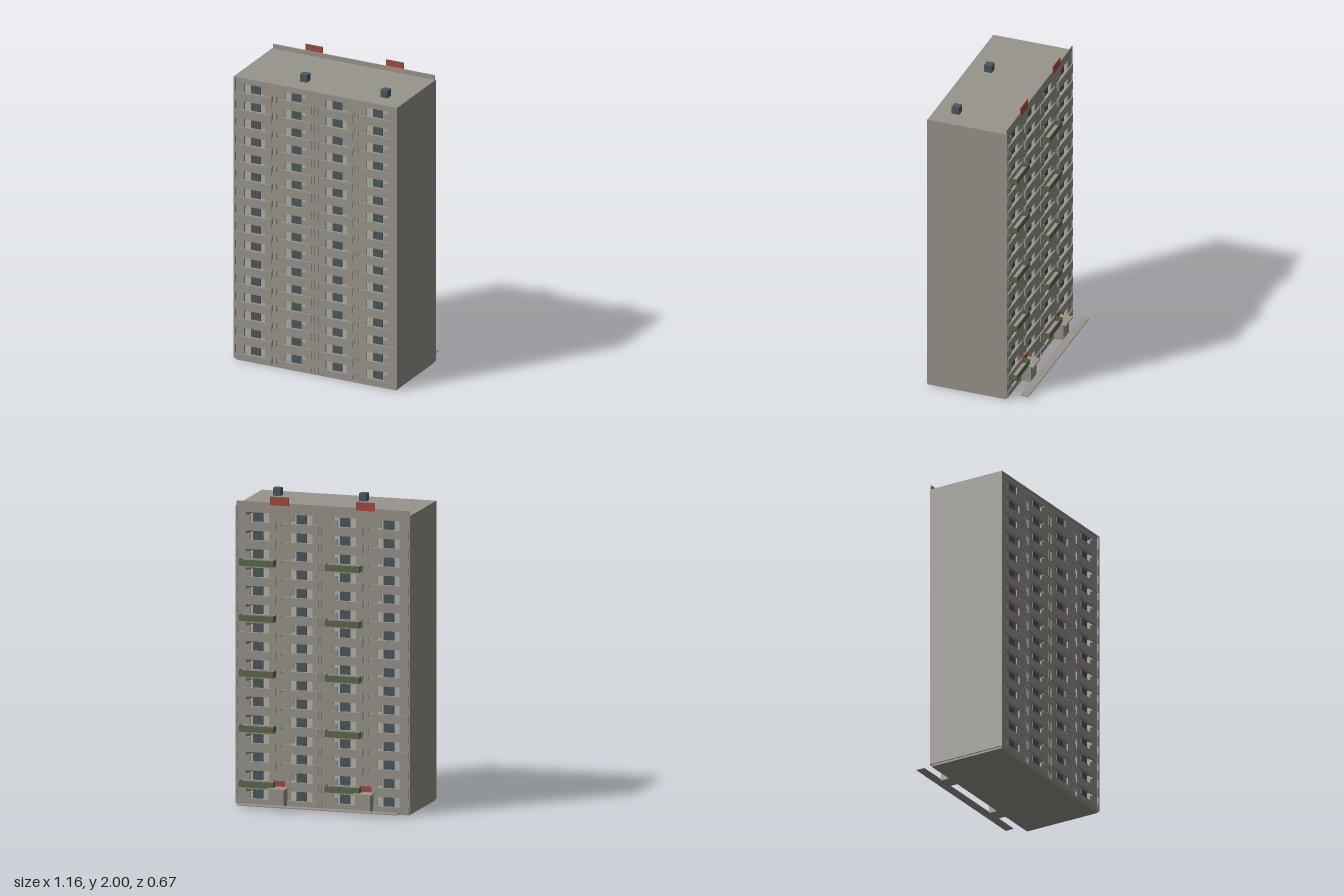
import * as THREE from 'three';
import { mergeGeometries } from 'three/addons/utils/BufferGeometryUtils.js';

const mat = (name, color) => {
  const m = new THREE.MeshStandardMaterial({ color });
  m.name = name;
  return m;
};

// Box given by its limits on each axis
const box = (x0, x1, y0, y1, z0, z1) =>
  new THREE.BoxGeometry(x1 - x0, y1 - y0, z1 - z0)
    .translate((x0 + x1) / 2, (y0 + y1) / 2, (z0 + z1) / 2);

const FLOORS = 16, PITCH = 0.1188, SILL = 0.048, OPEN = 0.06;
const COLUMNS = [-0.435, -0.145, 0.145, 0.435];
const sillY = (j) => SILL + j * PITCH;

export function createModel() {
  const concrete = mat('concrete', 0x98958c);
  const glass = mat('dark glass', 0x4a585e);
  const red = mat('red sign', 0xa34a40);
  const green = mat('green panel', 0x5a684c);

  const model = new THREE.Group();
  model.name = 'apartmentBlock';
  const add = (name, material, geometries, parent = model) => {
    const mesh = new THREE.Mesh(mergeGeometries(geometries), material);
    mesh.name = name;
    parent.add(mesh);
    return mesh;
  };

  // Shell: end walls, roof, base and inner floor slabs
  add('endWalls', concrete, [-1, 1].map((s) =>
    box(s * 0.575 - 0.006, s * 0.575 + 0.006, 0.012, 1.93, -0.207, 0.332)));
  add('roof', concrete, [box(-0.575, 0.575, 1.918, 1.93, -0.207, 0.33)]);
  add('base', concrete, [box(-0.572, 0.572, 0, 0.012, -0.2, 0.325)]);
  const slabs = [];
  for (let j = 0; j < FLOORS; j++) {
    slabs.push(box(-0.57, 0.57, sillY(j) - 0.012, sillY(j) - 0.006, -0.196, 0.316));
  }
  add('floorSlabs', concrete, slabs);

  // Wall sheet with a stepped opening for each flat and slits by the stairwells
  const sheet = new THREE.Shape([
    [-0.572, 0.012], [0.572, 0.012], [0.572, 1.92], [-0.572, 1.92],
  ].map(([x, y]) => new THREE.Vector2(x, y)));
  const cut = (pts) => sheet.holes.push(new THREE.Path(
    pts.map(([x, y]) => new THREE.Vector2(x, y))));
  for (let j = 0; j < FLOORS; j++) {
    const y0 = sillY(j), y1 = y0 + OPEN, ym = y0 + 0.03;
    COLUMNS.forEach((cx, i) => {
      const l = cx - 0.075, r = cx + 0.075, m = cx + 0.048;
      if (i % 2) cut([[l, y0], [m, y0], [m, ym + 0.01], [r, ym + 0.01], [r, y1], [l, y1]]);
      else if (j % 2) cut([[l, y0], [r, y0], [r, y0 + 0.014], [m, y0 + 0.014], [m, y1], [l, y1]]);
      else cut([[l, y0], [r, y0], [r, y1], [l, y1]]);
    });
    for (const sx of [-0.29, 0.29]) for (const d of [-0.016, 0.016]) {
      const a = sx + d - 0.004, b = sx + d + 0.004;
      cut([[a, y0 - 0.03], [b, y0 - 0.03], [b, y0 + 0.012], [a, y0 + 0.012]]);
    }
  }
  const sheetGeo = new THREE.ExtrudeGeometry(sheet, { depth: 0.01, bevelEnabled: false });

  // One long side: wall sheet, parapet bands, fins and windows
  const facade = (name, zSheet, zBand, zGlass) => {
    const group = new THREE.Group();
    group.name = name;
    model.add(group);
    add('wallSheet', concrete, [sheetGeo.clone().translate(0, 0, zSheet)], group);
    const bands = [], fins = [], windows = [];
    for (let j = 0; j < FLOORS; j++) {
      const y0 = sillY(j);
      const low = j ? y0 - PITCH + OPEN : 0.012;
      COLUMNS.forEach((cx, i) => {
        bands.push(box(cx - 0.12, cx + 0.12, low + 0.002, y0, zBand, zBand + 0.009));
        const side = i % 2 ? 1 : -1;
        const fx = cx + side * 0.128;
        fins.push(box(fx - 0.007, fx + 0.007, low, y0 + 0.004, zBand - 0.001, zBand + 0.01));
        windows.push(box(cx - 0.034, cx + 0.034, y0, y0 + OPEN, zGlass, zGlass + 0.008));
      });
    }
    add('parapetBands', concrete, bands, group);
    add('fins', concrete, fins, group);
    add('windows', glass, windows, group);
  };
  facade('frontFacade', 0.313, 0.322, 0.303);
  facade('backFacade', -0.203, -0.212, -0.193);

  // Rear balconies: slab with a green three-sided railing
  const balconySlabs = [], railings = [];
  for (let k = 0; k < 5; k++) {
    const y = 0.127 + k * 0.3565;
    for (const x of [-0.26, 0.313]) {
      const e = x + 0.23;
      balconySlabs.push(box(x + 0.002, e - 0.002, y, y + 0.006, -0.258, -0.203));
      railings.push(
        box(x, e, y, y + 0.04, -0.261, -0.257),
        box(x, x + 0.004, y, y + 0.04, -0.257, -0.205),
        box(e - 0.004, e, y, y + 0.04, -0.257, -0.205));
    }
  }
  add('balconySlabs', concrete, balconySlabs);
  add('balconyRailings', green, railings);

  // Rear entrances with canopies and signs, and the signs on the roof edge
  const porches = [], canopies = [], signs = [], roofSigns = [];
  for (const x of [-0.287, 0.287]) {
    porches.push(box(x - 0.05, x + 0.05, 0.014, 0.122, -0.276, -0.2));
    canopies.push(box(x - 0.062, x + 0.062, 0.126, 0.134, -0.298, -0.2));
    signs.push(box(x - 0.04, x + 0.04, 0.138, 0.174, -0.219, -0.214));
    roofSigns.push(box(x - 0.062, x + 0.062, 1.945, 2, -0.215, -0.208));
  }
  add('porches', concrete, porches);
  add('canopies', concrete, canopies);
  add('entranceSigns', red, signs);
  add('roofSigns', red, roofSigns);

  // Rear roof parapet, pavement strip and roof vents
  add('roofParapet', concrete, [box(-0.575, 0.575, 1.92, 1.96, -0.207, -0.2)]);
  add('pavement', concrete, [box(-0.533, 0.533, 0.022, 0.028, -0.335, -0.28)]);
  add('roofVents', glass, [-0.145, 0.428].map((x) =>
    box(x - 0.025, x + 0.025, 1.93, 1.98, 0.165, 0.215)));

  return model;
}
